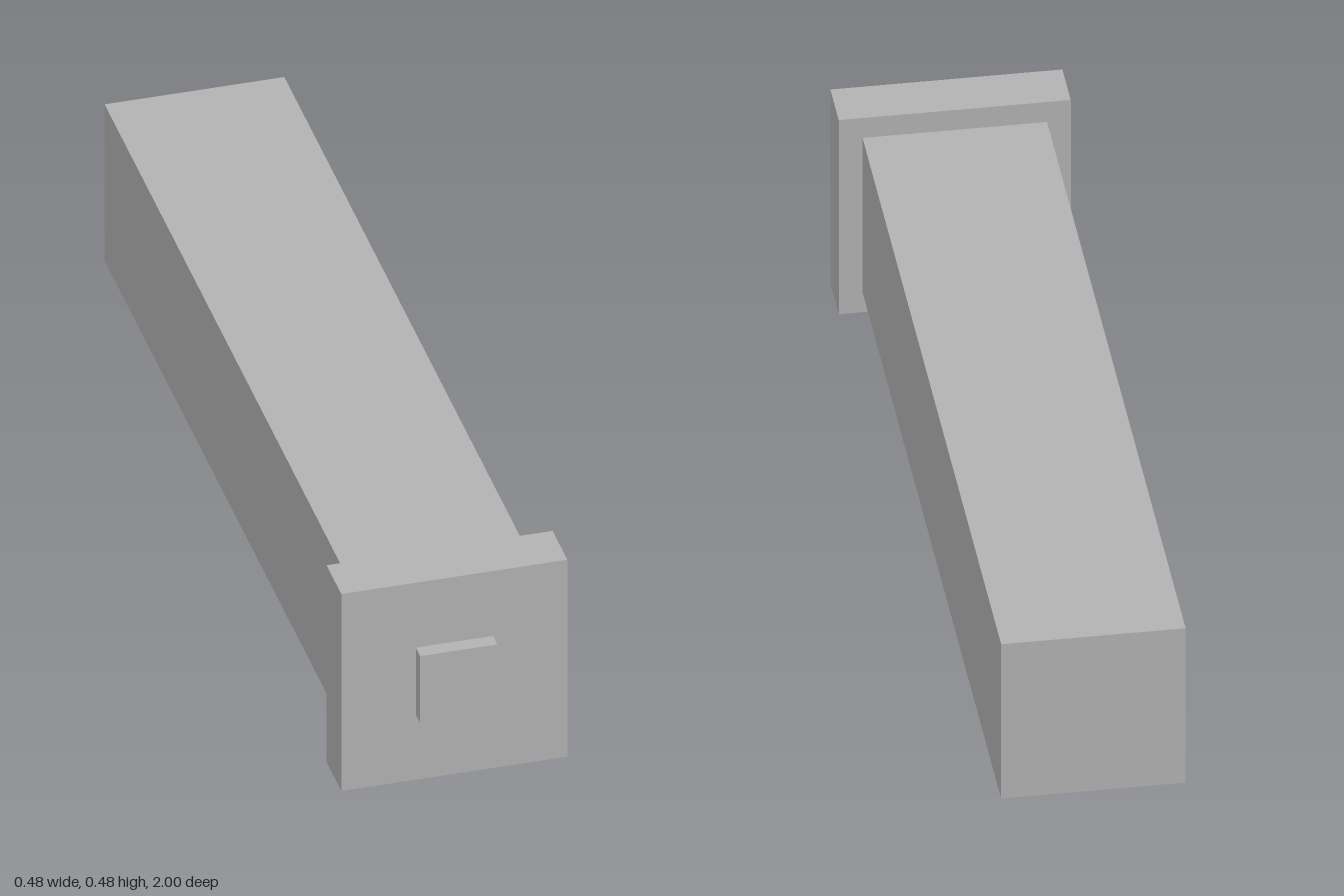
import * as THREE from 'three';

export function createModel() {
  const group = new THREE.Group();
  const grey = new THREE.MeshStandardMaterial({ color: 0xb2b2b2 });
  grey.name = 'grey';
  const axisY = 0.239;

  // Square block centred on the long axis, from z0 (back) to z1 (front)
  function block(name, side, z0, z1) {
    const mesh = new THREE.Mesh(new THREE.BoxGeometry(side, side, z1 - z0), grey);
    mesh.name = name;
    mesh.position.set(0, axisY, (z0 + z1) / 2);
    group.add(mesh);
  }

  block('shaft', 0.38, -1, 0.855);
  block('flange', 0.478, 0.855, 0.967);
  block('frontStud', 0.163, 0.967, 1);

  return group;
}
